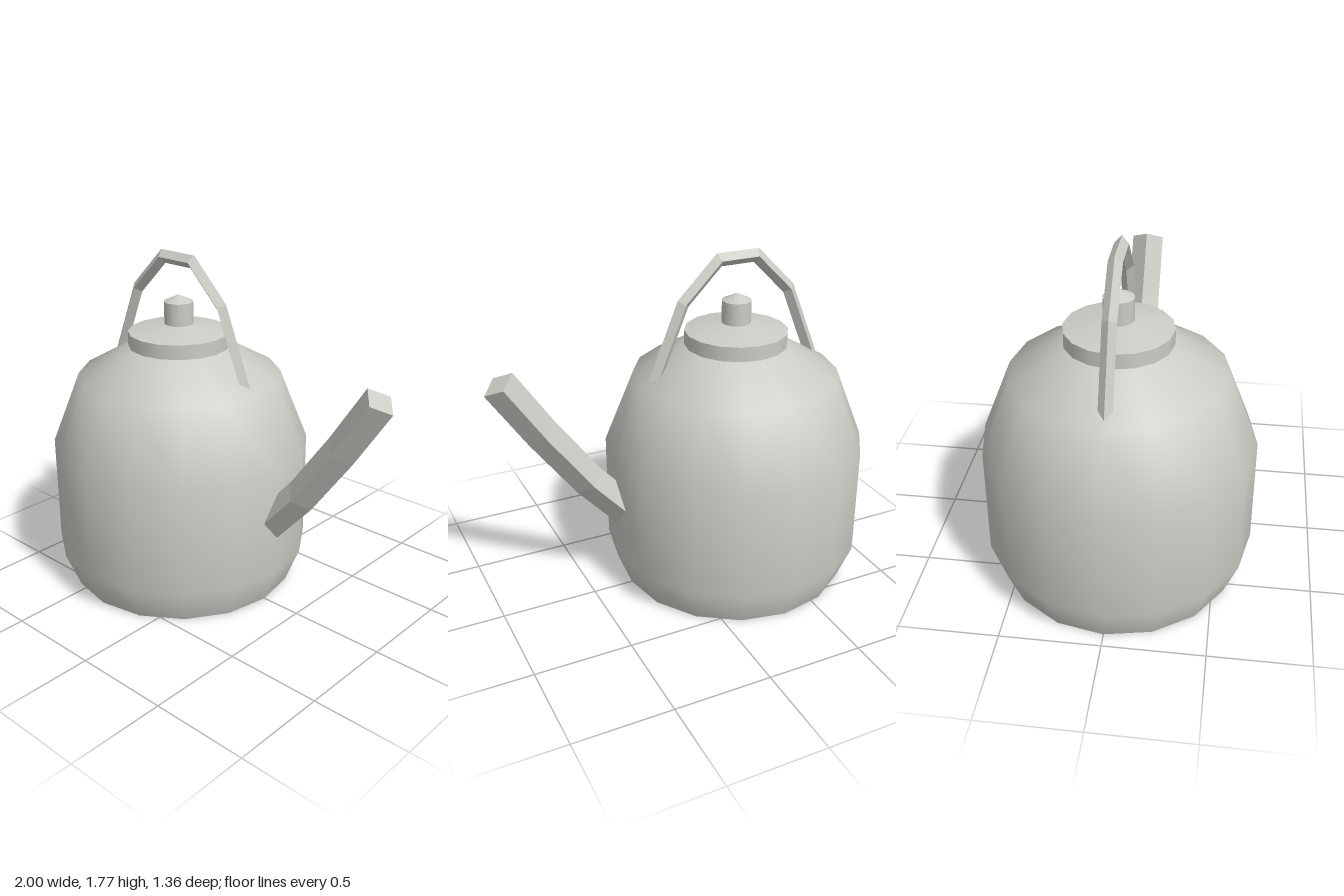
import * as THREE from 'three';

const SIDES = 16;
const CENTRE_X = -0.32;

// Turned surface; each call is one smooth band, so edges between calls stay sharp
function turned(name, profile, material) {
  const points = profile.map(([r, y]) => new THREE.Vector2(r, y));
  const mesh = new THREE.Mesh(new THREE.LatheGeometry(points, SIDES), material);
  mesh.name = name;
  mesh.position.x = CENTRE_X;
  return mesh;
}

// Bar of diamond section swept along a mitred path in the xy plane
function diamondBar(name, path, half, material) {
  const pts = path.map(([x, y]) => new THREE.Vector2(x, y));
  const last = pts.length - 1;
  const dirs = pts.slice(1).map((p, i) => p.clone().sub(pts[i]).normalize());
  const rings = pts.map((p, i) => {
    const before = dirs[Math.max(i - 1, 0)];
    const after = dirs[Math.min(i, last - 1)];
    const t = before.clone().add(after).normalize();
    const w = half / t.dot(after);
    const nx = -t.y * w, ny = t.x * w;
    return [
      [p.x + nx, p.y + ny, 0], [p.x, p.y, half],
      [p.x - nx, p.y - ny, 0], [p.x, p.y, -half],
    ];
  });
  const pos = [];
  const quad = (a, b, c, d) => pos.push(...a, ...b, ...c, ...a, ...c, ...d);
  for (let i = 0; i < last; i++) {
    for (let j = 0; j < 4; j++) {
      const k = (j + 1) % 4;
      quad(rings[i][j], rings[i][k], rings[i + 1][k], rings[i + 1][j]);
    }
  }
  const [s, e] = [rings[0], rings[last]];
  quad(s[3], s[2], s[1], s[0]);
  quad(e[0], e[1], e[2], e[3]);
  const geometry = new THREE.BufferGeometry();
  geometry.setAttribute('position', new THREE.Float32BufferAttribute(pos, 3));
  geometry.computeVertexNormals();
  const mesh = new THREE.Mesh(geometry, material);
  mesh.name = name;
  return mesh;
}

export function createModel() {
  const kettle = new THREE.Group();
  kettle.name = 'kettle';
  const metal = new THREE.MeshStandardMaterial({ color: 0xcccbc5 });
  metal.name = 'pale grey metal';

  // Body and base
  kettle.add(turned('body',
    [[0.605, 0], [0.68, 0.19], [0.68, 0.76], [0.53, 1.137], [0.265, 1.288]], metal));
  kettle.add(turned('base', [[0, 0], [0.605, 0]], metal));

  // Lid and knob
  const lid = new THREE.Group();
  lid.name = 'lid';
  lid.add(
    turned('lidRim', [[0.265, 1.288], [0.265, 1.363]], metal),
    turned('lidTop', [[0.265, 1.363], [0.075, 1.402], [0, 1.402]], metal),
    turned('knobStem', [[0.075, 1.395], [0.075, 1.518]], metal),
    turned('knobCap', [[0.075, 1.518], [0, 1.553]], metal),
  );
  kettle.add(lid);

  // Spout, rooted inside the body
  kettle.add(diamondBar('spout',
    [[0.26, 0.41], [0.503, 0.681], [0.73, 0.992], [0.925, 1.288]], 0.085, metal));

  // Arched handle, mirrored about the body axis
  const side = [[0.465, 1.13], [0.298, 1.54], [0.103, 1.735]];
  const arch = [
    ...side.map(([x, y]) => [CENTRE_X - x, y]),
    ...side.map(([x, y]) => [CENTRE_X + x, y]).reverse(),
  ];
  kettle.add(diamondBar('handle', arch, 0.034, metal));

  return kettle;
}
